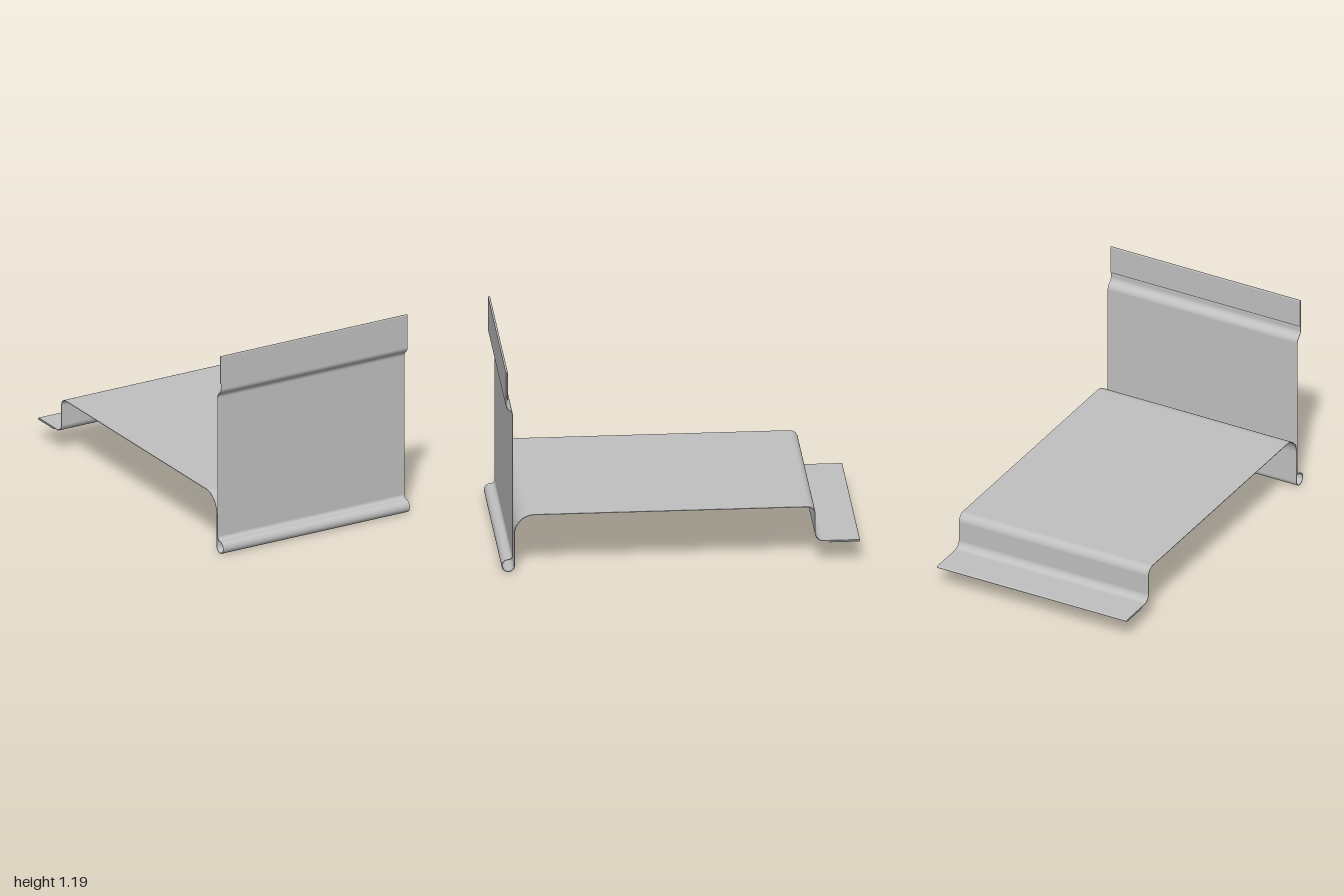
import * as THREE from 'three';

const HALF_WIDTH = 0.605;
const HALF_SHEET = 0.002;

// Samples a polyline of [z, y, bendRadius] into points with exact tangents.
function bendPath(corners, steps = 10) {
  const out = [];
  const vec = (c) => new THREE.Vector2(c[0], c[1]);
  const dir = (a, b) => vec(b).sub(vec(a)).normalize();
  const left = (v) => new THREE.Vector2(-v.y, v.x);
  const origin = new THREE.Vector2();
  const last = corners.length - 1;
  out.push({ p: vec(corners[0]), t: dir(corners[0], corners[1]) });
  for (let i = 1; i < last; i++) {
    const u = dir(corners[i - 1], corners[i]);
    const v = dir(corners[i], corners[i + 1]);
    const r = corners[i][2];
    const turn = Math.atan2(u.cross(v), u.dot(v));
    const s = Math.sign(turn);
    const centre = vec(corners[i])
      .addScaledVector(u, -r * Math.tan(Math.abs(turn) / 2))
      .addScaledVector(left(u), s * r);
    for (let k = 0; k <= steps; k++) {
      const t = u.clone().rotateAround(origin, (turn * k) / steps);
      out.push({ p: centre.clone().addScaledVector(left(t), -s * r), t });
    }
  }
  out.push({ p: vec(corners[last]), t: dir(corners[last - 1], corners[last]) });
  return out;
}

// Sweeps a bent section across x as a thin sheet, smooth along the bends.
function sheetGeometry(corners) {
  const path = bendPath(corners);
  const pos = [], nor = [], idx = [];
  const vertex = (x, { p, t }, side, n) => {
    pos.push(x, p.y + side * HALF_SHEET * t.x, p.x - side * HALF_SHEET * t.y);
    nor.push(...n);
  };
  const quads = (start, count, flip) => {
    for (let i = 0; i < count; i++) {
      const a = start + 2 * i;
      if (flip) idx.push(a, a + 1, a + 2, a + 1, a + 3, a + 2);
      else idx.push(a, a + 2, a + 1, a + 1, a + 2, a + 3);
    }
  };
  // two broad faces
  for (const side of [1, -1]) {
    const start = pos.length / 3;
    for (const q of path) {
      const n = [0, side * q.t.x, -side * q.t.y];
      vertex(-HALF_WIDTH, q, side, n);
      vertex(HALF_WIDTH, q, side, n);
    }
    quads(start, path.length - 1, side < 0);
  }
  // cut edges at both sides
  for (const end of [1, -1]) {
    const start = pos.length / 3;
    for (const q of path) {
      vertex(end * HALF_WIDTH, q, -1, [end, 0, 0]);
      vertex(end * HALF_WIDTH, q, 1, [end, 0, 0]);
    }
    quads(start, path.length - 1, end > 0);
  }
  // first and last edges
  for (const [q, end] of [[path[0], -1], [path[path.length - 1], 1]]) {
    const start = pos.length / 3;
    const n = [0, end * q.t.y, end * q.t.x];
    for (const side of [-1, 1]) {
      vertex(-HALF_WIDTH, q, side, n);
      vertex(HALF_WIDTH, q, side, n);
    }
    quads(start, 1, end > 0);
  }
  const g = new THREE.BufferGeometry();
  g.setAttribute('position', new THREE.Float32BufferAttribute(pos, 3));
  g.setAttribute('normal', new THREE.Float32BufferAttribute(nor, 3));
  g.setIndex(idx);
  return g;
}

export function createModel() {
  const metal = new THREE.MeshStandardMaterial({ color: 0xc0c0c0 });
  metal.name = 'sheet metal grey';

  const sections = {
    // folded hem, joggle and upright panel
    frontPanel: [
      [0.967, 1.02], [0.967, 1.184, 0.004], [0.975, 1.184, 0.004],
      [0.975, 0.97, 0.04], [0.938, 0.945, 0.04], [0.938, 0.2],
    ],
    // rolled bead at the foot of the panel
    dripBead: [
      [0.938, 0.2], [0.938, 0.072, 0.025], [0.998, 0.072, 0.035],
      [0.998, 0.002, 0.035], [0.928, 0.002, 0.035], [0.928, 0.2],
    ],
    // large bend and flat deck
    deck: [[0.928, 0.2], [0.928, 0.335, 0.11], [-0.6, 0.335]],
    // step down to the hemmed rear flange
    rearFlange: [
      [-0.6, 0.335], [-0.75, 0.335, 0.045], [-0.75, 0.131, 0.045],
      [-0.998, 0.131, 0.004], [-0.998, 0.123, 0.004], [-0.83, 0.123],
    ],
  };

  const model = new THREE.Group();
  model.name = 'edgeFlashing';
  for (const [name, corners] of Object.entries(sections)) {
    const mesh = new THREE.Mesh(sheetGeometry(corners), metal);
    mesh.name = name;
    model.add(mesh);
  }
  return model;
}
